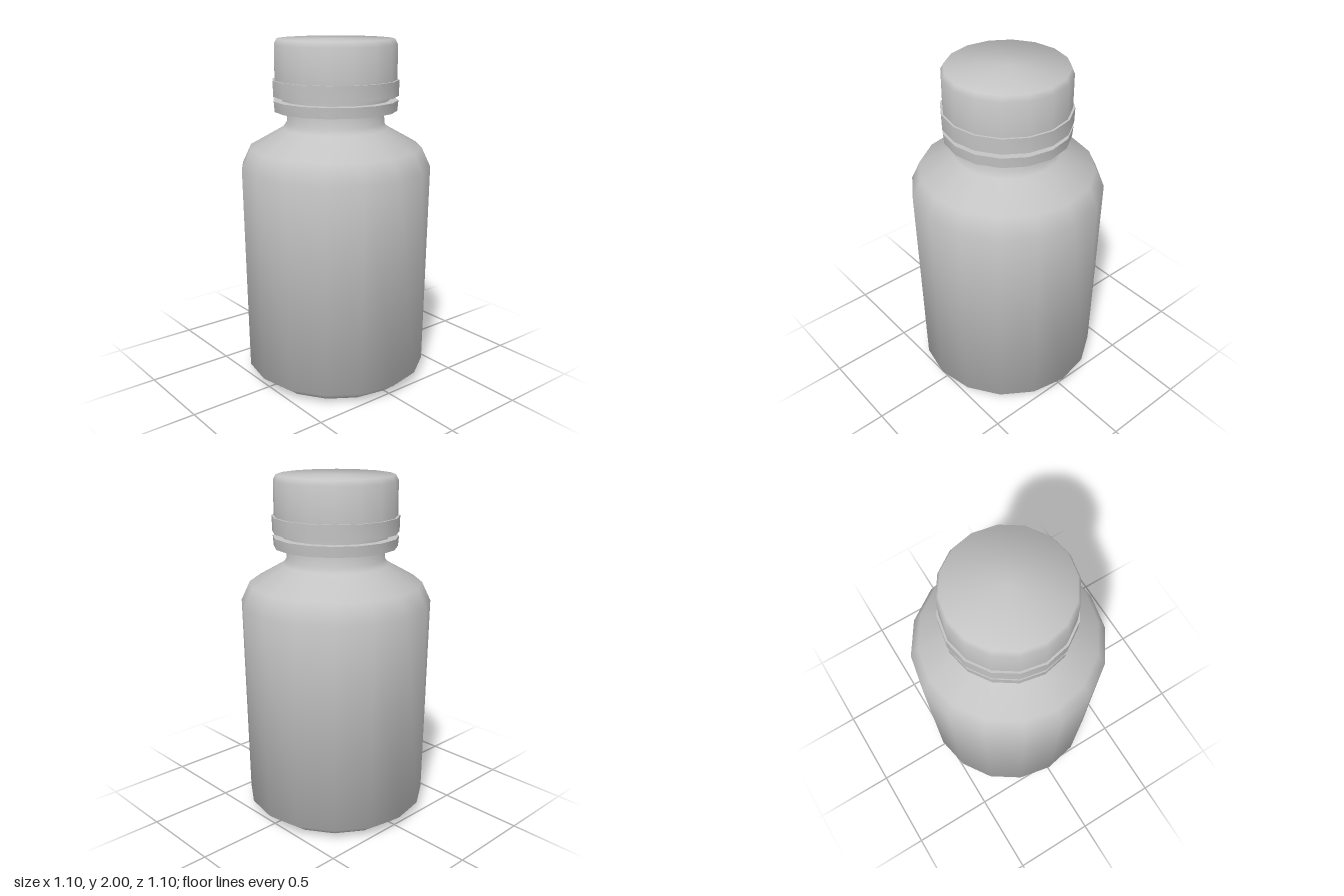
import * as THREE from 'three';
import { toCreasedNormals } from 'three/addons/utils/BufferGeometryUtils.js';

const SIDES = 16;

export function createModel() {
  const group = new THREE.Group();
  group.name = 'bottle';
  const plastic = new THREE.MeshStandardMaterial({ color: 0xc4c4c4 });
  plastic.name = 'grey plastic';

  // Turned part from [radius, height] pairs, listed from bottom to top
  function turned(name, profile, crease) {
    const points = profile.map(([r, y]) => new THREE.Vector2(r, y));
    const geometry = toCreasedNormals(new THREE.LatheGeometry(points, SIDES), crease);
    const mesh = new THREE.Mesh(geometry, plastic);
    mesh.name = name;
    group.add(mesh);
  }

  // Body with chamfered base, slight outward taper, sloping shoulder and neck
  turned('body', [
    [0, 0], [0.455, 0], [0.537, 0.065], [0.552, 1.28], [0.5, 1.39],
    [0.305, 1.5], [0.283, 1.53], [0.278, 1.62], [0.278, 1.7], [0, 1.7],
  ], 1.1);

  // Tamper ring under the cap
  turned('tamperRing', [
    [0.275, 1.6], [0.355, 1.6], [0.36, 1.66], [0.275, 1.66],
  ], 0.7);

  // Narrow bridge between ring and cap
  turned('bridge', [[0.31, 1.65], [0.31, 1.7]], 0.7);

  // Collar at the foot of the cap
  turned('capCollar', [
    [0.275, 1.685], [0.362, 1.685], [0.364, 1.775], [0.34, 1.775],
  ], 0.7);

  // Cap with a softened upper rim
  turned('cap', [
    [0.352, 1.77], [0.351, 1.97], [0.335, 2], [0, 2],
  ], 1.1);

  return group;
}
